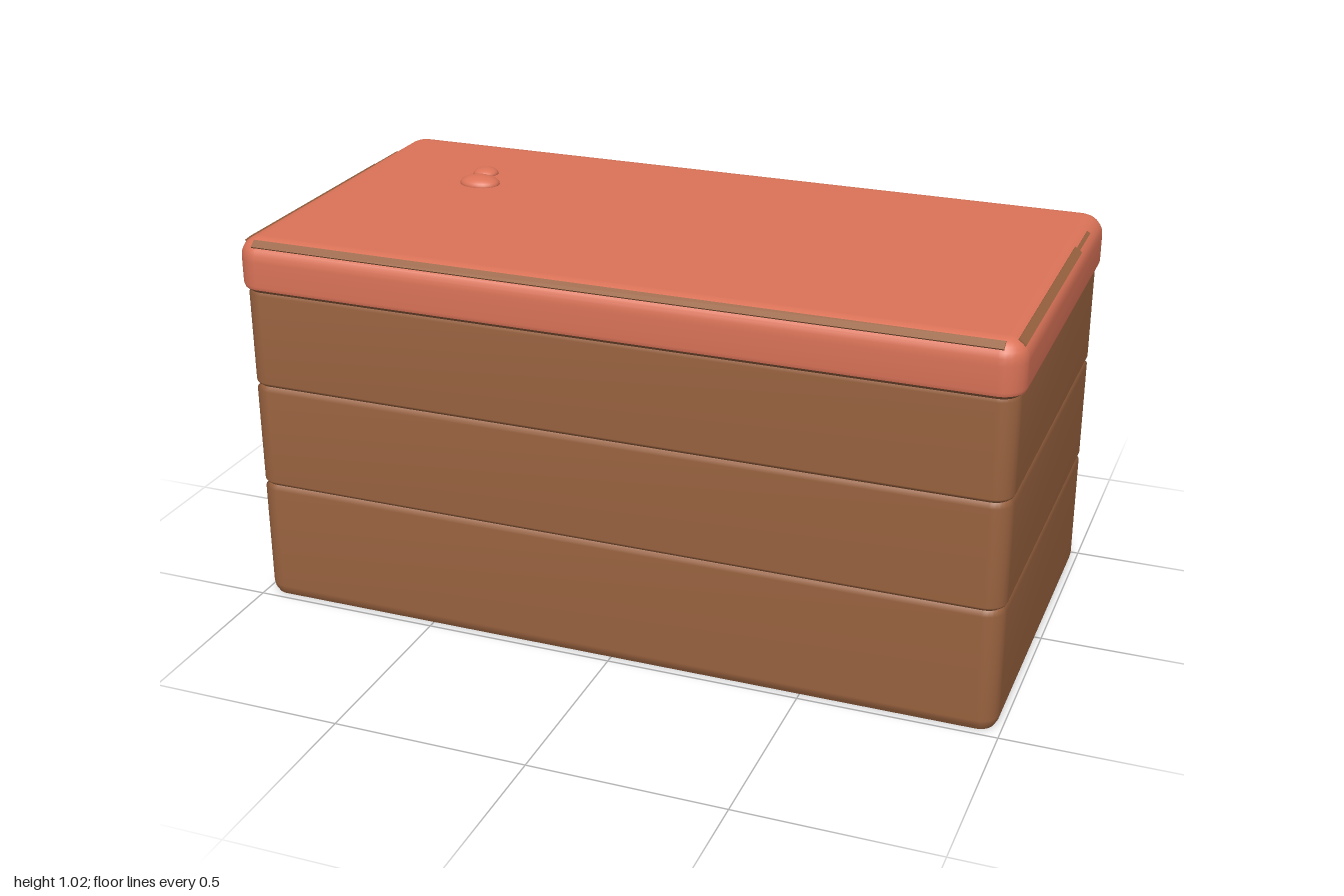
import * as THREE from 'three';

const coral = new THREE.MeshStandardMaterial({ color: 0xdb7358, side: THREE.DoubleSide });
coral.name = 'coral lid';
const brown = new THREE.MeshStandardMaterial({ color: 0x99623f, side: THREE.DoubleSide });
brown.name = 'brown wood';

const SEG = 6; // steps in each rounded corner
const N = 4 * (SEG + 1);

// Rounded rectangle at height y, shrunk by inset from a 2 x 1 outline
function ring(inset, y, radius = 0.06) {
  const points = [];
  const r = Math.max(radius - inset, 0.004);
  const hx = 1 - inset - r, hz = 0.5 - inset - r;
  for (let q = 0; q < 4; q++) {
    const sx = q === 0 || q === 3 ? 1 : -1;
    const sz = q < 2 ? -1 : 1;
    for (let i = 0; i <= SEG; i++) {
      const a = (q + i / SEG) * Math.PI / 2;
      points.push(sx * hx + r * Math.cos(a), y, sz * hz - r * Math.sin(a));
    }
  }
  return points;
}

// Smooth skin through [inset, y] sections, optionally closed on top
function loft(name, sections, material, capped = false) {
  const positions = sections.flatMap(([inset, y]) => ring(inset, y));
  const index = [];
  for (let s = 0; s < sections.length - 1; s++) {
    for (let i = 0; i < N; i++) {
      const a = s * N + i, b = s * N + (i + 1) % N;
      index.push(a, b, b + N, a, b + N, a + N);
    }
  }
  if (capped) {
    const base = (sections.length - 1) * N, centre = sections.length * N;
    positions.push(0, sections.at(-1)[1], 0);
    for (let i = 0; i < N; i++) index.push(centre, base + i, base + (i + 1) % N);
  }
  const geometry = new THREE.BufferGeometry();
  geometry.setAttribute('position', new THREE.Float32BufferAttribute(positions, 3));
  geometry.setIndex(index);
  geometry.computeVertexNormals();
  const mesh = new THREE.Mesh(geometry, material);
  mesh.name = name;
  return mesh;
}

export function createModel() {
  const model = new THREE.Group();
  model.name = 'box';

  // Three hollow stacked tiers with narrow grooves between them
  const levels = [0, 0.322, 0.602, 0.866];
  for (let i = 0; i < 3; i++) {
    const low = levels[i], high = levels[i + 1];
    const foot = i === 0 ? 0.028 : 0.012;
    model.add(loft('tier' + (i + 1), [
      [0.022, low], [0.014, low + foot * 0.5], [0.011, low + foot],
      [0.011, high - 0.012], [0.022, high],
    ], brown));
  }

  // Inner liner closing the hollow under the lid
  model.add(loft('liner', [[0.022, 0.866], [0.022, 0.95], [0.05, 0.98]], brown, true));

  // Lid with a rounded upper edge
  const lidSections = [[0.003, 0.872], [0, 0.882], [0, 0.945]];
  for (let i = 1; i <= 6; i++) {
    const a = i * Math.PI / 12;
    lidSections.push([0.05 * (1 - Math.cos(a)), 0.95 + 0.05 * Math.sin(a)]);
  }
  lidSections.push([0.056, 1]);
  model.add(loft('lid', lidSections, coral, true));

  // Sloping underside of the lid: coral along the back, brown elsewhere
  const rim = loft('lidRim', [[0.018, 0.86], [0.003, 0.872]], [brown, coral]);
  for (let i = 0; i < N; i++) {
    const back = i < 2 * SEG + 1;
    rim.geometry.addGroup(i * 6, 6, back ? 1 : 0);
  }
  model.add(rim);

  // Thin brown trim lying on the rounded edge
  const trim = (name, length, width, x, z, angle) => {
    const holder = new THREE.Group();
    holder.name = name;
    const plate = new THREE.Mesh(new THREE.BoxGeometry(length, width, 0.006), brown);
    plate.name = name + 'Plate';
    plate.rotation.x = -0.92;
    holder.position.set(x, 0.9885, z);
    holder.rotation.y = angle;
    holder.add(plate);
    model.add(holder);
  };
  trim('frontTrim', 1.9, 0.022, 0, 0.481, 0);
  for (const side of [1, -1]) {
    const name = side > 0 ? 'leftTrim' : 'rightTrim';
    trim(name, 0.65, 0.022, side * 0.981, 0.125, side * Math.PI / 2);
    trim(name + 'End', 0.14, 0.01, side * 0.98, -0.27, side * Math.PI / 2);
  }

  // Two small bumps on the lid
  for (const [name, x, z, rx, ry, rz] of [
    ['largeBump', -0.62, -0.135, 0.055, 0.022, 0.043],
    ['smallBump', -0.643, -0.22, 0.034, 0.016, 0.034],
  ]) {
    const bump = new THREE.Mesh(new THREE.SphereGeometry(1, 24, 16), coral);
    bump.name = name;
    bump.position.set(x, 1.001, z);
    bump.scale.set(rx, ry, rz);
    model.add(bump);
  }
  return model;
}
